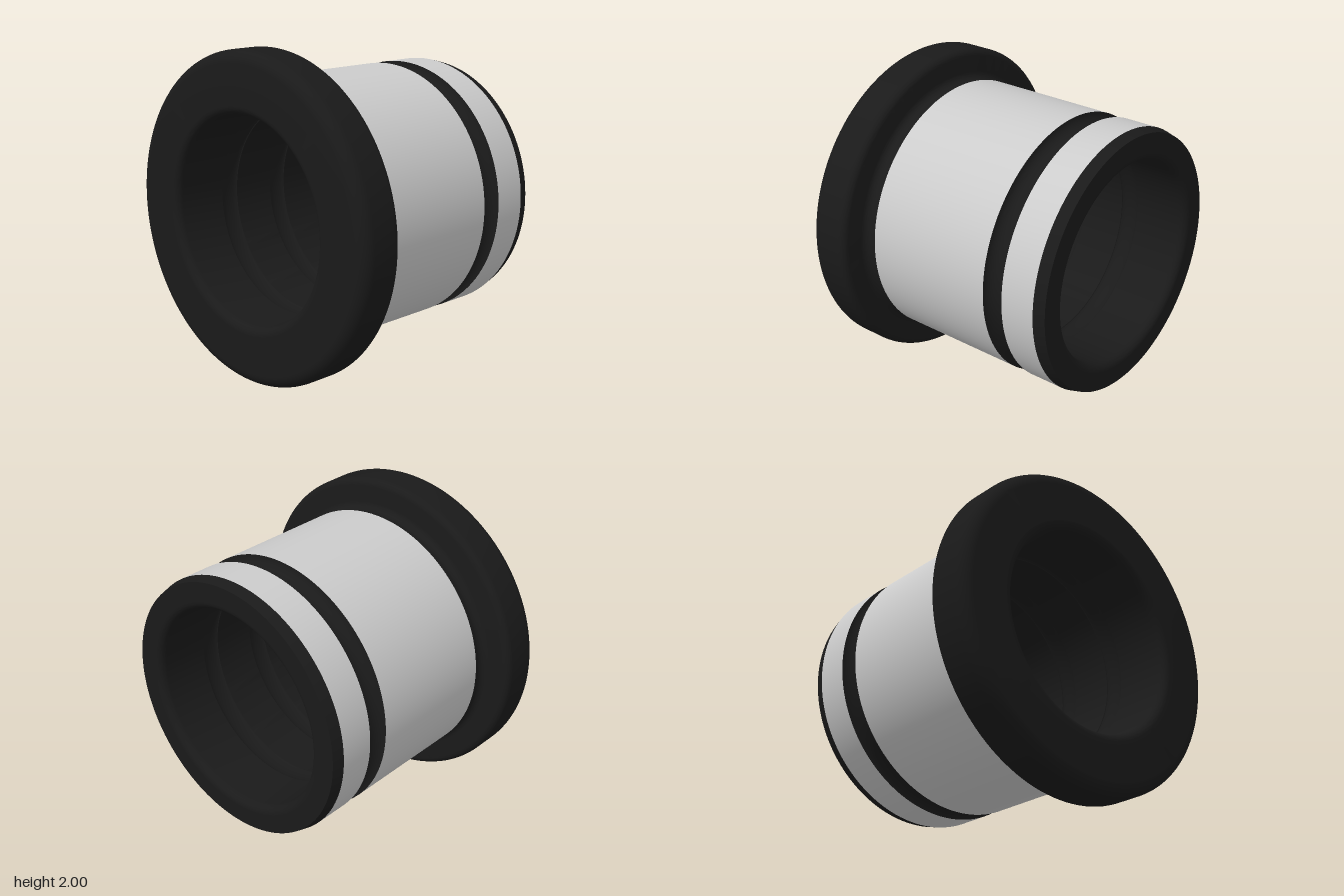
import * as THREE from 'three';
import { toCreasedNormals } from 'three/addons/utils/BufferGeometryUtils.js';

const SEGMENTS = 128;
const DARK = 0x1a1a1a;
const GREY = 0xcccccc;

// Profile points are written as [position along the axis, radius].
// arc: centre, radii along both directions, start and end angle in degrees
function arc(cx, cr, ax, ar, from, to, steps = 10) {
  return Array.from({ length: steps + 1 }, (_, i) => {
    const a = THREE.MathUtils.degToRad(from + ((to - from) * i) / steps);
    return [cx + ax * Math.cos(a), cr + ar * Math.sin(a)];
  });
}

// Turned part: revolve the profile and lay its axis along x
function turned(name, color, profile) {
  const points = profile.map(([x, r]) => new THREE.Vector2(r, x));
  const lathe = new THREE.LatheGeometry(points, SEGMENTS);
  lathe.rotateZ(-Math.PI / 2);
  const geometry = toCreasedNormals(lathe, 0.42);
  const mesh = new THREE.Mesh(geometry, new THREE.MeshStandardMaterial({ color }));
  mesh.name = name;
  mesh.position.y = 1;
  return mesh;
}

export function createModel() {
  const group = new THREE.Group();
  group.name = 'flangedBushing';

  const left = -0.82, right = 0.815, bore = 0.63, fillet = 0.05;

  // Flange with rounded rim, ending in the relief groove beside the body
  group.add(turned('flange', DARK, [
    [left, bore + fillet],
    ...arc(left + 0.08, 0.92, 0.08, 0.08, 180, 90),
    ...arc(-0.585, 0.955, 0.045, 0.045, 90, 0),
    ...arc(-0.495, 0.853, 0.045, 0.045, 180, 270),
    [-0.46, 0.818],
  ]));

  // Ground outer surfaces on either side of the ring groove
  group.add(turned('body', GREY, [[-0.46, 0.818], [0.39, 0.818]]));
  group.add(turned('endLand', GREY, [[0.525, 0.818], [0.745, 0.818]]));

  // Round-bottomed ring groove
  group.add(turned('ringGroove', DARK,
    arc(0.4575, 0.818, 0.0675, 0.064, 180, 360, 16)));

  // Chamfered end and its flat face
  group.add(turned('chamferedEnd', DARK, [
    [0.745, 0.818], [right, 0.8], [right, bore + fillet],
  ]));

  // Bore with rounded mouths and shallow lubrication grooves
  const grooves = [0.4, 0.0, -0.4].flatMap((x) =>
    arc(x, bore, 0.06, 0.02, 0, 180, 12));
  group.add(turned('bore', DARK, [
    ...arc(right - fillet, bore + fillet, fillet, fillet, 360, 270),
    ...grooves,
    ...arc(left + fillet, bore + fillet, fillet, fillet, 270, 180),
  ]));

  return group;
}
